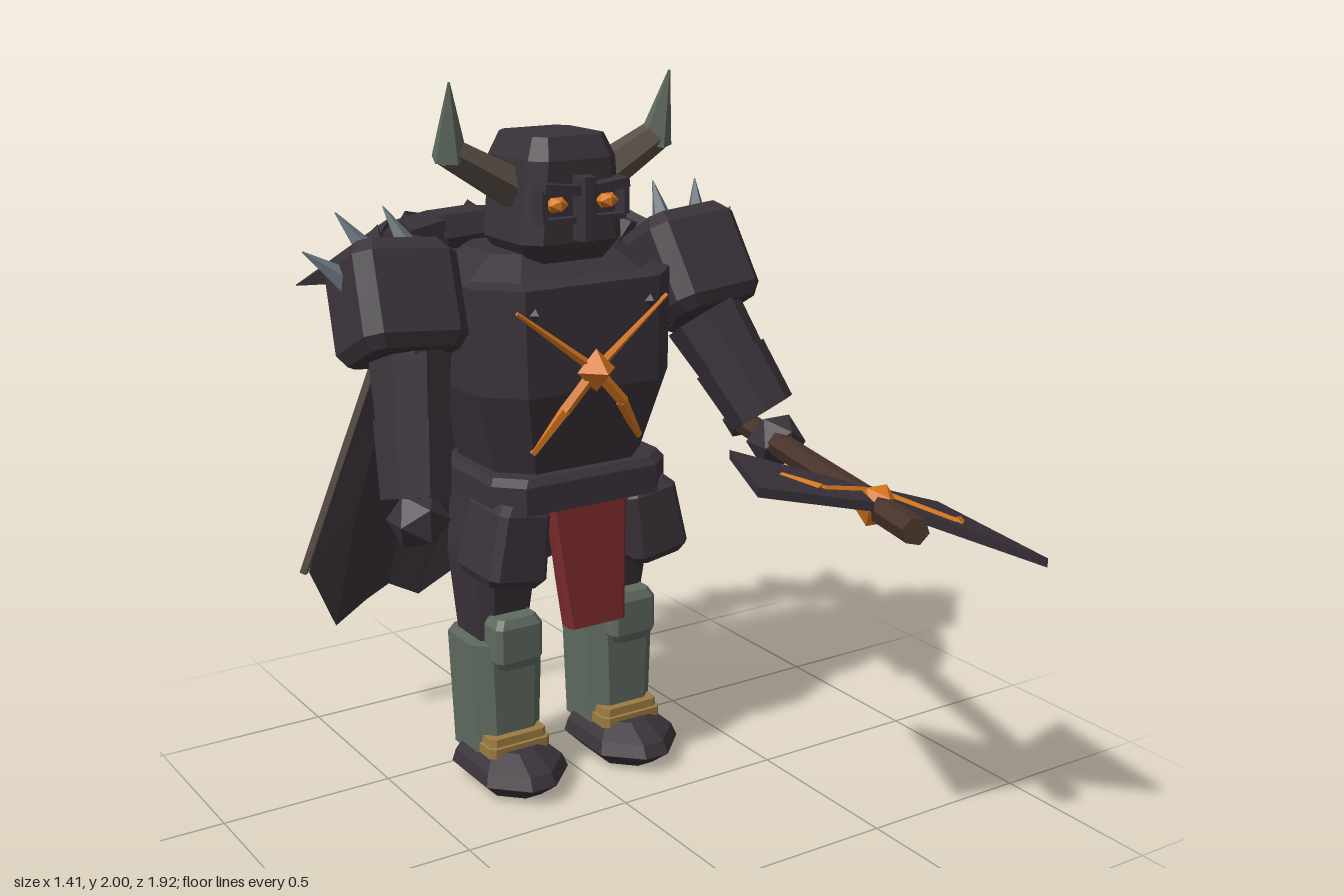
import * as THREE from 'three';

const mat = (name, color, side = THREE.FrontSide) => {
  const m = new THREE.MeshStandardMaterial({ color, side, flatShading: true });
  m.name = name;
  return m;
};
const V = (p) => new THREE.Vector3(...p);

export function createModel() {
  const M = {
    dark: mat('dark armour', 0x3a333a, THREE.DoubleSide),
    green: mat('greave green', 0x5f6b60),
    orange: mat('ember orange', 0xd9781e),
    tan: mat('ankle brass', 0x9c7c42),
    horn: mat('horn brown', 0x5c5049),
    wood: mat('shaft brown', 0x4a352d),
    steel: mat('spike steel', 0x66717a),
    red: mat('cloth red', 0x7a2a2b),
  };
  const root = new THREE.Group();
  const body = new THREE.Group();
  body.name = 'body';
  body.position.x = -0.01;
  root.add(body);

  const add = (name, geo, m, parent = body) => {
    const mesh = new THREE.Mesh(geo, m);
    mesh.name = name;
    parent.add(mesh);
    return mesh;
  };

  // closed skin over stacked rings of equal point count, listed bottom to top
  const loft = (rings) => {
    const out = [];
    const n = rings[0].length;
    const mid = (r) => [0, 1, 2].map((k) => r.reduce((s, p) => s + p[k], 0) / n);
    const lo = rings[0], hi = rings[rings.length - 1];
    const cl = mid(lo), ch = mid(hi);
    for (let i = 0; i < n; i++) {
      const j = (i + 1) % n;
      for (let k = 0; k + 1 < rings.length; k++) {
        const a = rings[k], b = rings[k + 1];
        out.push(...a[i], ...b[i], ...a[j], ...a[j], ...b[i], ...b[j]);
      }
      out.push(...cl, ...lo[i], ...lo[j], ...ch, ...hi[j], ...hi[i]);
    }
    const g = new THREE.BufferGeometry();
    g.setAttribute('position', new THREE.Float32BufferAttribute(out, 3));
    g.computeVertexNormals();
    return g;
  };
  // chamfered rectangle ring
  const oct = (y, cx, cz, hx, hz, c) => [
    [hx, -hz + c], [hx, hz - c], [hx - c, hz], [-hx + c, hz],
    [-hx, hz - c], [-hx, -hz + c], [-hx + c, -hz], [hx - c, -hz],
  ].map(([x, z]) => [cx + x, y, cz + z]);
  const block = (name, m, rows, parent) => add(name, loft(rows.map((r) => oct(...r))), m, parent);
  // tapered prism from a to b
  const rod = (name, m, a, b, ra, rb, n = 6, parent = body) => {
    const A = V(a), B = V(b), d = B.clone().sub(A);
    const mesh = add(name, new THREE.CylinderGeometry(rb, ra, d.length(), n), m, parent);
    mesh.position.copy(A).add(B).multiplyScalar(0.5);
    mesh.quaternion.setFromUnitVectors(new THREE.Vector3(0, 1, 0), d.normalize());
    return mesh;
  };
  const put = (name, m, p, geo, parent = body) => {
    const g = add(name, geo, m, parent);
    g.position.set(...p);
    return g;
  };
  const octa = (r) => new THREE.OctahedronGeometry(r);
  const ico = (r) => new THREE.IcosahedronGeometry(r);
  const box = (x, y, z) => new THREE.BoxGeometry(x, y, z);

  // torso, neck, belt, hips
  block('torso', M.dark, [
    [0.93, 0, -0.385, 0.23, 0.185, 0.08], [1.18, 0, -0.365, 0.305, 0.225, 0.1],
    [1.47, 0, -0.37, 0.31, 0.23, 0.1], [1.48, 0, -0.4, 0.29, 0.2, 0.1],
    [1.54, 0, -0.42, 0.2, 0.14, 0.06]]);
  block('neck', M.dark, [[1.45, 0, -0.36, 0.125, 0.12, 0.04], [1.53, 0, -0.36, 0.11, 0.1, 0.04]]);
  block('belt', M.dark, [
    [0.85, 0, -0.365, 0.28, 0.215, 0.07], [0.93, 0, -0.365, 0.28, 0.215, 0.07],
    [0.95, 0, -0.365, 0.265, 0.2, 0.07]]);
  block('hips', M.dark, [[0.74, 0, -0.39, 0.2, 0.11, 0.04], [0.87, 0, -0.38, 0.25, 0.16, 0.05]]);
  block('loincloth', M.red, [
    [0.505, 0, -0.152, 0.09, 0.03, 0.01], [0.65, 0, -0.168, 0.105, 0.027, 0.01],
    [0.86, 0, -0.19, 0.122, 0.025, 0.01]]);

  // helmet, face guard
  block('helmet', M.dark, [
    [1.515, 0, -0.355, 0.12, 0.11, 0.03], [1.57, 0, -0.355, 0.158, 0.145, 0.045],
    [1.79, 0, -0.355, 0.135, 0.147, 0.04], [1.85, 0, -0.355, 0.11, 0.12, 0.03]]);
  block('noseGuard', M.dark, [[1.58, 0, -0.19, 0.022, 0.035, 0.006], [1.75, 0, -0.19, 0.022, 0.035, 0.006]]);

  for (const s of [-1, 1]) {
    const x = s * 0.19;
    // face
    put('brow', M.dark, [s * 0.075, 1.72, -0.195], box(0.11, 0.026, 0.06)).rotation.z = s * 0.12;
    put('cheekGuard', M.dark, [s * 0.078, 1.635, -0.2], box(0.1, 0.016, 0.04));
    put('templeGuard', M.dark, [s * 0.126, 1.68, -0.2], box(0.016, 0.08, 0.05));
    put('eye', M.orange, [s * 0.078, 1.678, -0.198], ico(0.033)).scale.set(1, 0.7, 0.85);
    // horns
    rod('horn', M.horn, [s * 0.12, 1.705, -0.345], [s * 0.325, 1.82, -0.335], 0.06, 0.044, 6);
    rod('hornTip', M.green, [s * 0.32, 1.8, -0.335], [s * 0.338, 2, -0.29], 0.05, 0.003, 5);
    // legs
    block('thigh', M.dark, [
      [0.43, x, -0.4, 0.075, 0.095, 0.03], [0.68, x, -0.39, 0.095, 0.125, 0.035],
      [0.87, x, -0.39, 0.08, 0.12, 0.03]]);
    const tasset = block('tasset', M.dark, [
      [-0.115, 0, 0, 0.075, 0.095, 0.02], [-0.09, 0, 0, 0.09, 0.113, 0.02],
      [0.09, 0, 0, 0.08, 0.105, 0.02], [0.115, 0, 0, 0.06, 0.085, 0.02]]);
    tasset.position.set(s * 0.22, 0.76, -0.255);
    tasset.rotation.z = s * 0.16;
    block('greave', M.green, [
      [0.09, x, -0.385, 0.1, 0.112, 0.042], [0.44, x, -0.385, 0.115, 0.115, 0.046]]);
    block('kneePad', M.green, [
      [0.375, x, -0.275, 0.06, 0.04, 0.015], [0.4, x, -0.275, 0.074, 0.048, 0.015],
      [0.5, x, -0.275, 0.074, 0.048, 0.015], [0.525, x, -0.28, 0.06, 0.04, 0.015]]);
    block('ankleStrap', M.tan, [
      [0.11, x, -0.305, 0.098, 0.068, 0.015], [0.14, x, -0.305, 0.098, 0.068, 0.015],
      [0.142, x, -0.305, 0.092, 0.06, 0.015], [0.165, x, -0.305, 0.09, 0.058, 0.015]]);
    block('boot', M.dark, [
      [0, x, -0.31, 0.085, 0.135, 0.06], [0.05, x, -0.31, 0.133, 0.2, 0.095],
      [0.085, x, -0.315, 0.122, 0.185, 0.088], [0.125, x, -0.34, 0.08, 0.13, 0.055]]);
    // chest embers and rivets
    rod('upperEmber', M.orange, [0, 1.235, -0.138], [s * 0.235, 1.415, -0.142], 0.015, 0.006, 5);
    rod('lowerEmber', M.orange, [0, 1.235, -0.138], [s * 0.095, 1.13, -0.145], 0.018, 0.018, 5);
    rod('lowerEmber', M.orange, [s * 0.09, 1.135, -0.145], [s * 0.17, 1.015, -0.185], 0.018, 0.012, 5);
    put('rivet', M.dark, [s * 0.18, 1.405, -0.14], octa(0.018));
    // cape pins and edge strips
    put('capePin', M.horn, [s * 0.31, 1.5, -0.56], ico(0.04));
    rod('capeStrip', M.horn, [s * 0.325, 1.45, -0.615], [s * 0.568, 0.54, -0.862], 0.014, 0.014, 4);
  }
  put('chestGem', M.orange, [0, 1.235, -0.13], octa(0.06));

  // arms: shoulder guard, upper arm, forearm, fist, spikes
  const arm = (s, tilt, elbow, wrist, hand) => {
    const g = new THREE.Group();
    g.name = s > 0 ? 'leftArm' : 'rightArm';
    root.add(g);
    const guard = block('shoulderGuard', M.dark, [
      [-0.15, 0, 0, 0.125, 0.115, 0.03], [-0.115, 0, 0, 0.148, 0.14, 0.04],
      [0.105, 0, 0, 0.148, 0.14, 0.04], [0.145, 0, 0, 0.12, 0.11, 0.03]], g);
    guard.position.set(s * 0.465 - 0.01, 1.43, -0.38);
    guard.rotation.set(tilt, 0, s * 0.09);
    rod('upperArm', M.dark, [s * 0.45, 1.4, -0.38], elbow, 0.12, 0.115, 8, g);
    rod('forearm', M.dark, elbow, wrist, 0.118, 0.088, 8, g);
    const w = V(elbow).lerp(V(wrist), 0.45).toArray();
    rod('bracer', M.dark, w, wrist, 0.112, 0.1, 8, g);
    put('fist', M.dark, hand, ico(0.086), g);
    for (const [a, b] of [
      [[0.4, 1.53, -0.41], [s > 0 ? 0.395 : 0.46, 1.67, -0.47]],
      [[0.51, 1.53, -0.41], [s > 0 ? 0.545 : 0.595, 1.665, -0.475]],
      [[0.58, 1.48, -0.41], [s > 0 ? 0.66 : 0.7, 1.575, -0.455]]])
      rod('shoulderSpike', M.steel, [s * a[0], a[1], a[2]], [s * b[0], b[1], b[2]], 0.04, 0.002, 5, g);
  };
  arm(1, -0.52, [0.46, 1.3, -0.3], [0.56, 1.03, -0.14], [0.58, 0.95, -0.1]);
  arm(-1, -0.45, [-0.455, 1.29, -0.35], [-0.505, 0.93, -0.24], [-0.505, 0.875, -0.23]);

  // spiked mantle round the back of the neck
  const arc = [];
  for (let i = 0; i <= 8; i++) {
    const t = (Math.PI * i) / 8;
    arc.push([Math.cos(t) * 0.4, 1.48 + Math.sin(t) * 0.05, -0.57 - Math.sin(t) * 0.22]);
  }
  for (let i = 0; i < 8; i++) rod('mantleRoll', M.dark, arc[i], arc[i + 1], 0.068, 0.068, 6);
  const spikes = [
    [[0.38, 1.5, -0.6], [0.54, 1.45, -0.68], 0.105], [[0.31, 1.51, -0.69], [0.54, 1.4, -0.87], 0.105],
    [[0.17, 1.52, -0.76], [0.28, 1.39, -0.95], 0.105],
    [[0.09, 1.48, -0.74], [0.14, 1.35, -0.87], 0.08], [[0.25, 1.48, -0.7], [0.39, 1.36, -0.84], 0.08]];
  for (const [a, b, r] of spikes) for (const s of [-1, 1])
    rod('mantleSpike', M.dark, [s * a[0], a[1], a[2]], [s * b[0], b[1], b[2]], r, 0.002, 4);
  rod('mantleSpike', M.dark, [0, 1.52, -0.78], [0, 1.37, -0.965], 0.105, 0.002, 4);

  // softly folded cape with ragged hem
  const hem = [0.55, 0.35, 0.42, 0.44, 0.39, 0.46, 0.51, 0.46, 0.39, 0.44, 0.43, 0.46, 0.35];
  const cape = new THREE.PlaneGeometry(1, 1, 12, 3);
  const pos = cape.attributes.position;
  for (let i = 0; i < pos.count; i++) {
    const col = i % 13, v = Math.floor(i / 13) / 3;
    const y = 1.5 + (hem[col] - 1.5) * v, drop = 1.5 - y;
    const fold = [0, 1, 1, -1][col % 4] * (0.004 + 0.018 * v);
    pos.setXYZ(i, (col / 6 - 1) * (0.315 + 0.26 * Math.min(drop, 0.97)), y, -0.605 - 0.245 * drop + fold);
  }
  cape.computeVertexNormals();
  add('cape', cape, M.dark);

  // two-bladed axe
  const axe = new THREE.Group();
  axe.name = 'axe';
  root.add(axe);
  rod('axeShaft', M.wood, [0.66, 0.935, -0.38], [0.253, 1.02, 0.87], 0.036, 0.036, 6, axe);
  put('axePommel', M.dark, [0.66, 0.935, -0.38], ico(0.056), axe);
  put('axeGem', M.orange, [0.327, 1.008, 0.64], ico(0.058), axe);
  const onBlade = ([x, z], off = 0) => {
    const dx = x - 0.325, dz = z - 0.64, across = 0.95 * dx + 0.31 * dz;
    const along = -0.31 * dx + 0.95 * dz;
    return [x, 1.03 + 0.065 * along - (across > 0 ? 0.4 : 0.24) * across + off, z];
  };
  const blades = [
    [[[0.13, 0.29], [0.325, 0.555], [0.22, 0.755], [-0.09, 0.705]],
      [[0.11, 0.53], [0.145, 0.645], [0.3, 0.62]]],
    [[[0.685, 0.475], [0.61, 0.955], [0.335, 0.8], [0.365, 0.555]],
      [[0.57, 0.68], [0.48, 0.76], [0.36, 0.645]]]];
  for (const [outline, rune] of blades) {
    add('axeBlade', loft([-0.012, 0.012].map((o) => outline.map((p) => onBlade(p, o)))), M.dark, axe);
    for (let i = 0; i < 2; i++)
      rod('bladeRune', M.orange, onBlade(rune[i]), onBlade(rune[i + 1]), 0.017 + i * 0.003, 0.021, 6, axe);
  }
  return root;
}
